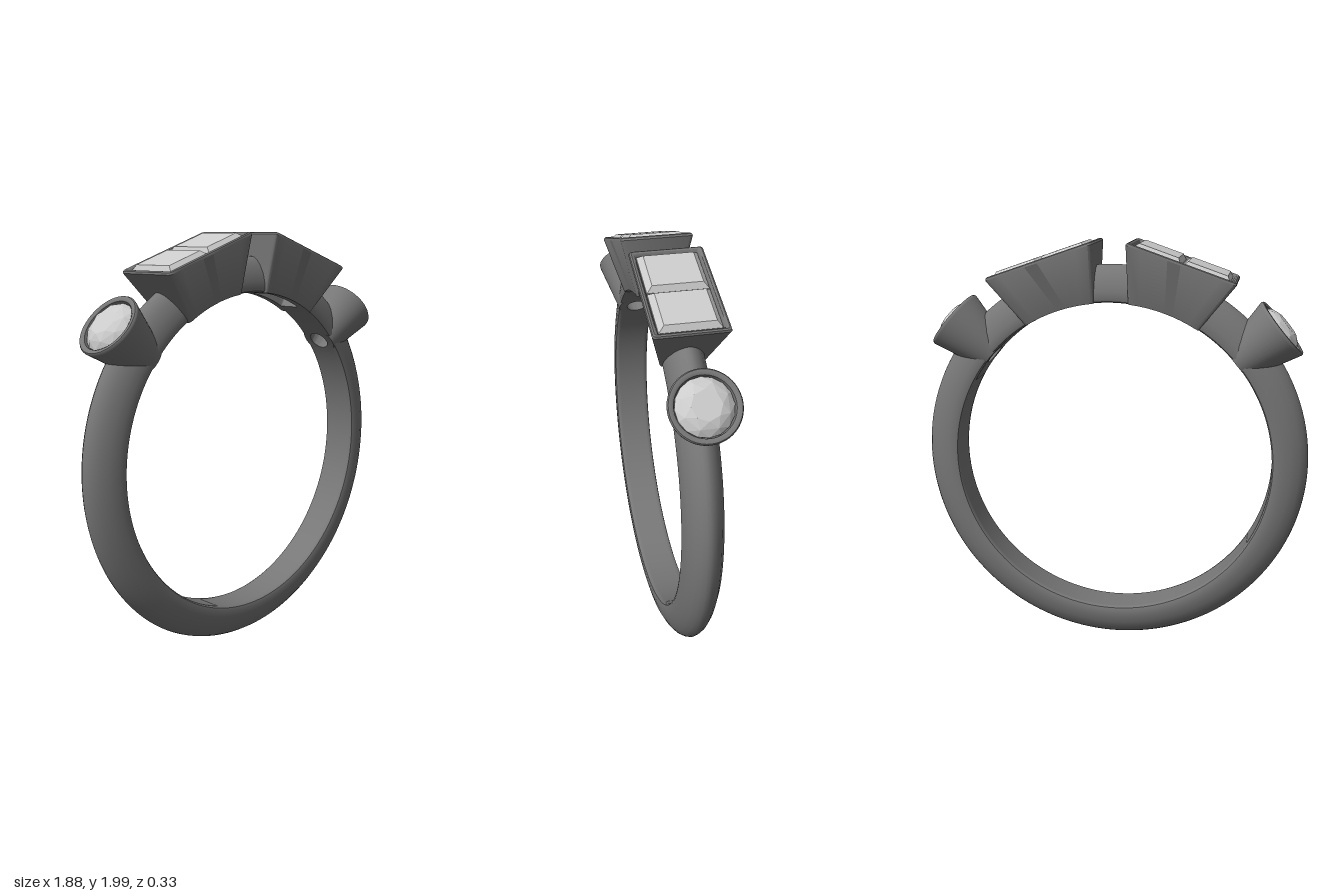
import * as THREE from 'three';
import { toCreasedNormals } from 'three/addons/utils/BufferGeometryUtils.js';
import { ConvexGeometry } from 'three/addons/geometries/ConvexGeometry.js';

const CENTRE_Y = 0.945, INNER = 0.77;
const HEAD_ANGLE = 19, HEAD_HALF = 12.5, COLLET_ANGLE = 50;
const rad = THREE.MathUtils.degToRad, lerp = THREE.MathUtils.lerp;

// Skin through cross-section loops; closed = last loop joins the first
function loft(rows, closed, crease = 0.6) {
  const n = rows[0].length, m = rows.length, index = [];
  for (let i = 0; i < (closed ? m : m - 1); i++) {
    for (let j = 0; j < n; j++) {
      const k = (i + 1) % m, l = (j + 1) % n;
      const a = i * n + j, b = i * n + l, c = k * n + l, d = k * n + j;
      index.push(a, b, d, b, c, d);
    }
  }
  const geo = new THREE.BufferGeometry().setFromPoints(rows.flat());
  geo.setIndex(index);
  return toCreasedNormals(geo, crease);
}

// Height of the finger-side surface at a sideways offset
const boreHeight = (x) => Math.sqrt(INNER * INNER - x * x);

// Half of the band section as [radius, z], from ridge to inner face
const half = [[0.94, 0], [0.936, 0.016], [0.924, 0.036], [0.9, 0.057], [0.86, 0.078], [0.82, 0.088],
  [0.79, 0.09], [0.776, 0.086], [INNER, 0.076], [INNER, 0.065], [INNER, 0.05], [INNER, 0.025], [INNER, 0]];
const section = [...half, ...half.slice(1, -1).reverse().map(([r, z]) => [r, -z])];

// Angle by which the band stops short of a collet axis, inside the collet wall
function colletGap(r, z) {
  const R = lerp(0.07, 0.14, (r - INNER) / 0.26);
  return Math.asin(Math.sqrt(Math.max(0, R * R - z * z)) / r);
}

// Band arc; start and end give an angle from the top for each section point
function bandArc(start, end, steps) {
  const rows = [];
  for (let i = 0; i <= steps; i++) {
    rows.push(section.map(([r, z]) => {
      const t = lerp(start(r, z), end(r, z), i / steps);
      return new THREE.Vector3(r * Math.sin(t), r * Math.cos(t), z);
    }));
  }
  return loft(rows, false);
}

// Rounded rectangle loop; y null means it follows the finger hole
function rectLoop(hx, hz, c, y) {
  const pts = [];
  const add = (x, z) => pts.push(new THREE.Vector3(x, y ?? boreHeight(x), -z));
  const corners = [[1, 1], [-1, 1], [-1, -1], [1, -1]];
  corners.forEach(([sx, sz], q) => {
    for (let k = 0; k <= 3; k++) {
      const a = (q + k / 3) * Math.PI / 2;
      add(sx * (hx - c) + c * Math.cos(a), sz * (hz - c) + c * Math.sin(a));
    }
    // extra points along the long sides so the underside can curve
    if (q % 2 === 0) for (let k = 1; k < 8; k++) add(sx * (hx - c) * (1 - k / 4), sz * hz);
  });
  return pts;
}

function circleLoop(r, y) {
  return Array.from({ length: 48 }, (_, i) => {
    const a = i / 48 * Math.PI * 2, x = r * Math.cos(a);
    return new THREE.Vector3(x, y ?? boreHeight(x), -r * Math.sin(a));
  });
}

// Step-cut stone: table, crown, girdle and pavilion
function rectStone() {
  const tiers = [[1.031, 0.095, 0.11], [1.006, 0.115, 0.134], [0.996, 0.115, 0.134],
    [0.93, 0.085, 0.085], [0.86, 0.04, 0.03]];
  const pts = [];
  for (const [y, hx, hz] of tiers)
    for (const sx of [-1, 1]) for (const sz of [-1, 1]) pts.push(new THREE.Vector3(sx * hx, y, sz * hz));
  return new ConvexGeometry(pts);
}

// Brilliant-cut stone: rings of points as [height, radius, count, turn]
function roundStone() {
  const tiers = [[1.058, 0.065, 8, 0], [1.043, 0.1, 8, 0.5], [1.018, 0.123, 16, 0],
    [1.01, 0.123, 16, 0], [0.9, 0.03, 8, 0]];
  const pts = [];
  for (const [y, r, n, turn] of tiers) {
    for (let i = 0; i < n; i++) {
      const a = (i + turn) / n * Math.PI * 2;
      pts.push(new THREE.Vector3(r * Math.cos(a), y, r * Math.sin(a)));
    }
  }
  return new ConvexGeometry(pts);
}

export function createModel() {
  const model = new THREE.Group();
  model.name = 'ring';
  const metal = new THREE.MeshStandardMaterial({ color: 0x777777 });
  const gem = new THREE.MeshStandardMaterial({ color: 0xcccccc, flatShading: true });
  const add = (parent, name, geo, mat) => {
    const mesh = new THREE.Mesh(geo, mat);
    mesh.name = name;
    parent.add(mesh);
    return mesh;
  };

  const body = new THREE.Group();
  body.name = 'ringBody';
  body.position.y = CENTRE_Y;
  model.add(body);

  // Band pieces between the settings
  const collet = rad(COLLET_ANGLE), headIn = rad(HEAD_ANGLE - HEAD_HALF), headOut = rad(HEAD_ANGLE + HEAD_HALF);
  add(body, 'lowerBand', bandArc((r, z) => collet + colletGap(r, z),
    (r, z) => 2 * Math.PI - collet - colletGap(r, z), 120), metal);
  add(body, 'topBand', bandArc(() => -headIn, () => headIn, 8), metal);
  add(body, 'leftShoulderBand', bandArc(() => headOut, (r, z) => collet - colletGap(r, z), 10), metal);
  add(body, 'rightShoulderBand', bandArc((r, z) => colletGap(r, z) - collet, () => -headOut, 10), metal);

  // Settings are hollow, with a window through to the finger side
  const headGeo = loft([
    rectLoop(0.173, 0.097, 0.012, null), rectLoop(0.264, 0.165, 0.014, 1.008),
    rectLoop(0.261, 0.162, 0.013, 1.017), rectLoop(0.254, 0.155, 0.01, 1.021),
    rectLoop(0.246, 0.145, 0.008, 1.018), rectLoop(0.239, 0.137, 0.006, 1.008),
    rectLoop(0.235, 0.134, 0.006, 0.985), rectLoop(0.115, 0.055, 0.006, null),
  ], true);
  const colletGeo = loft([
    circleLoop(0.09, null), circleLoop(0.153, 1.018), circleLoop(0.154, 1.027), circleLoop(0.149, 1.034),
    circleLoop(0.136, 1.035), circleLoop(0.127, 1.029), circleLoop(0.123, 1.005), circleLoop(0.05, null),
  ], true, 0.8);
  const rectGeo = rectStone(), roundGeo = roundStone();

  for (const [side, s] of [['left', 1], ['right', -1]]) {
    // Rectangular head with two stones and a bar between them
    const head = new THREE.Group();
    head.name = side + 'Head';
    head.rotation.z = -s * rad(HEAD_ANGLE);
    body.add(head);
    add(head, 'headFrame', headGeo, metal);
    for (const t of [-1, 1]) add(head, 'rectangularStone', rectGeo, gem).position.x = t * 0.118;
    add(head, 'stoneDivider', new THREE.BoxGeometry(0.01, 0.03, 0.27), metal).position.y = 0.992;

    // Conical collet with a round stone
    const cup = new THREE.Group();
    cup.name = side + 'Collet';
    cup.rotation.z = -s * collet;
    body.add(cup);
    add(cup, 'colletCup', colletGeo, metal);
    add(cup, 'roundStone', roundGeo, gem);
  }
  return model;
}
